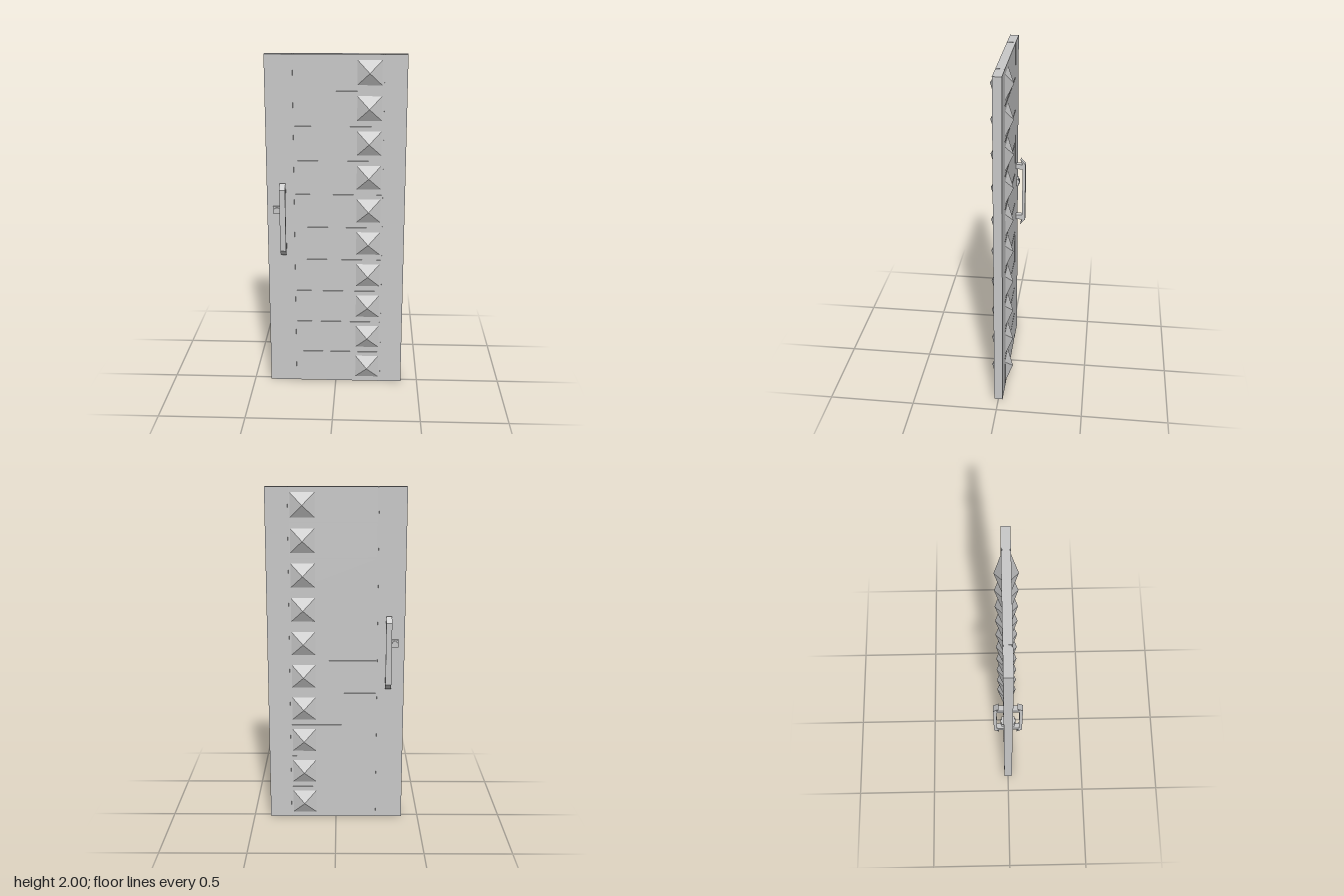
import * as THREE from 'three';

const grey = new THREE.MeshStandardMaterial({ color: 0xc8c8c8 });

const T = 0.05;        // door thickness
const GROOVE = 0.008;  // gap between boards
const HX = -0.306;     // handle centre in x

function add(group, name, geometry, x = 0, y = 0, z = 0) {
  const mesh = new THREE.Mesh(geometry, grey);
  mesh.name = name;
  mesh.position.set(x, y, z);
  group.add(mesh);
  return mesh;
}

// Box from its limits in x and y, centred on z = 0
function board(group, name, x0, x1, y0, y1, depth) {
  add(group, name, new THREE.BoxGeometry(x1 - x0, y1 - y0, depth), (x0 + x1) / 2, (y0 + y1) / 2);
}

// Four-sided pyramid pointing along z on the given side
function pyramid(side) {
  let g = new THREE.ConeGeometry(0.07 * Math.SQRT2, 0.039, 4, 1);
  g.rotateY(Math.PI / 4);
  g.rotateX(side * Math.PI / 2);
  g = g.toNonIndexed();
  g.computeVertexNormals();
  return g;
}

// Pull handle: a bar with slanted, pointed ends on two short arms
function handle(side) {
  const group = new THREE.Group();
  group.name = side > 0 ? 'frontHandle' : 'backHandle';
  const profile = [
    [0.0825, 0.865], [0.0825, 1.235], [0.052, 1.268], [0.064, 1.235],
    [0.064, 0.865], [0.052, 0.832],
  ].map(([z, y]) => new THREE.Vector2(z * side, y));
  const width = 0.034;
  const bar = new THREE.ExtrudeGeometry(new THREE.Shape(profile), { depth: width, bevelEnabled: false });
  bar.rotateY(-Math.PI / 2);
  bar.translate(width / 2, 0, 0);
  add(group, 'handleBar', bar, HX, 0, 0);
  for (const y of [0.88, 1.22])
    add(group, 'handleArm', new THREE.BoxGeometry(0.032, 0.03, 0.046), HX, y, side * 0.044);
  return group;
}

// Lock plate with a round cylinder
function lock(side) {
  const group = new THREE.Group();
  group.name = side > 0 ? 'frontLock' : 'backLock';
  add(group, 'lockPlate', new THREE.BoxGeometry(0.045, 0.045, 0.012), -0.342, 1.102, side * 0.031);
  const barrel = new THREE.CylinderGeometry(0.016, 0.016, 0.006, 24);
  barrel.rotateX(Math.PI / 2);
  add(group, 'lockCylinder', barrel, -0.342, 1.102, side * 0.039);
  return group;
}

export function createModel() {
  const model = new THREE.Group();
  model.name = 'door';

  // Thin core that shows at the bottom of the grooves
  board(model, 'core', -0.3, 0.3, 0.001, 1.999, T - 0.01);

  // Upright side boards
  const left = -0.238, right = 0.268;
  board(model, 'handleSideStile', -0.4, left - GROOVE / 2, 0, 2, T);
  board(model, 'hingeSideStile', right + GROOVE / 2, 0.4, 0, 2, T);

  // Ten planks, each with a pyramid stud on both faces
  for (let i = 0; i < 10; i++) {
    const y0 = i * 0.2 + (i > 0 ? GROOVE / 2 : 0);
    const y1 = (i + 1) * 0.2 - (i < 9 ? GROOVE / 2 : 0);
    board(model, 'plank', left + GROOVE / 2, right - GROOVE / 2, y0, y1, T);
    for (const side of [1, -1])
      add(model, 'pyramidStud', pyramid(side), 0.19, i * 0.2 + 0.1, side * (T / 2 + 0.0192));
  }

  // Handle and lock on both faces
  for (const side of [1, -1]) model.add(handle(side), lock(side));
  return model;
}
